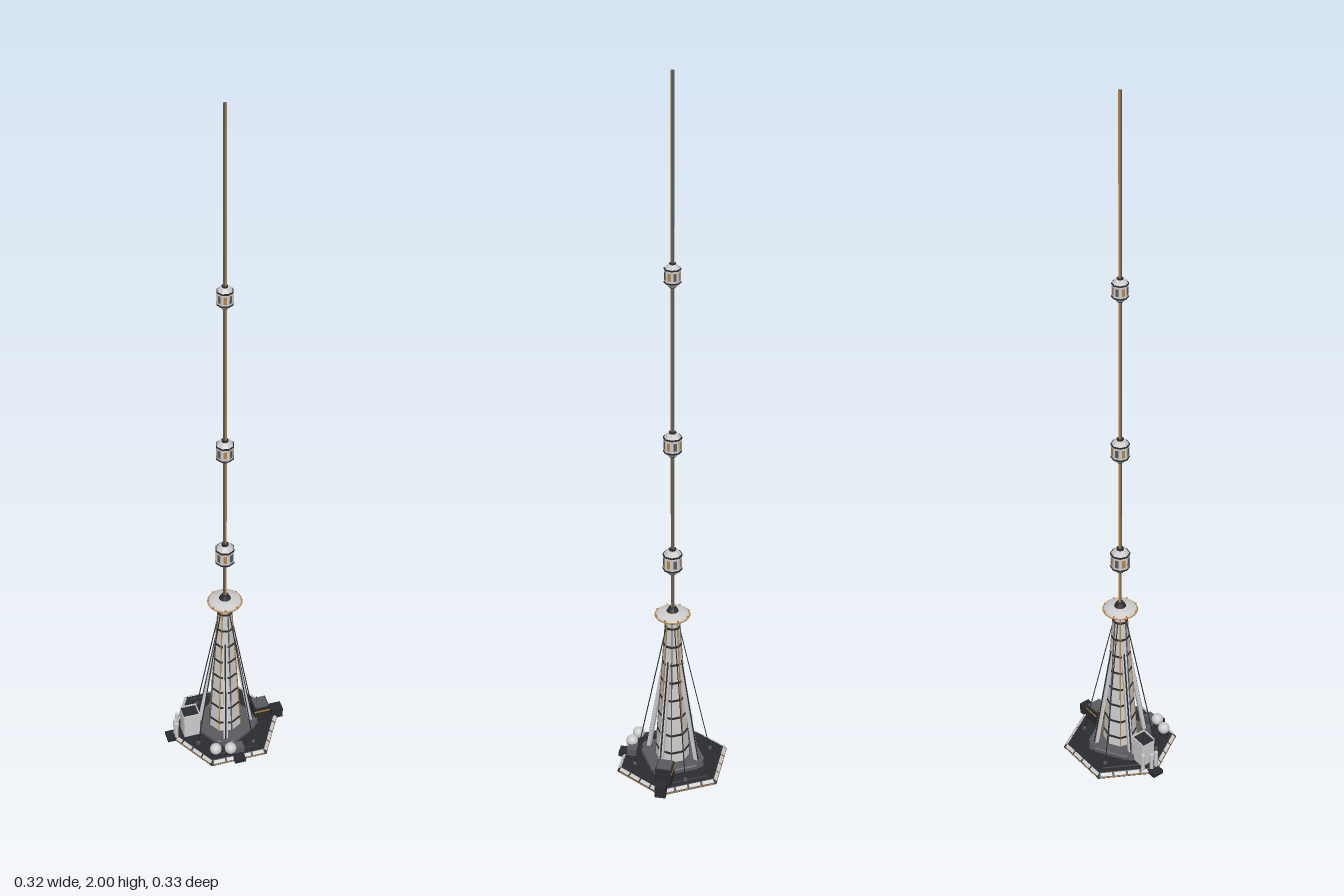
import * as THREE from 'three';

const mat = (color, extra = {}) => new THREE.MeshStandardMaterial({ color, flatShading: true, ...extra });
const GREY = mat(0xcccccc);
const DARK = mat(0x2b2c30);
const MID = mat(0x5a5b5f);
const GOLD = mat(0xb8843a);
const SMOOTH = mat(0xcccccc, { flatShading: false });

function add(parent, name, geometry, material, x = 0, y = 0, z = 0) {
  const mesh = new THREE.Mesh(geometry, material);
  mesh.name = name;
  mesh.position.set(x, y, z);
  parent.add(mesh);
  return mesh;
}
function group(parent, name) {
  const g = new THREE.Group();
  g.name = name;
  parent.add(g);
  return g;
}
const box = (w, h, d) => new THREE.BoxGeometry(w, h, d);
const cyl = (rTop, rBottom, h, sides) => new THREE.CylinderGeometry(rTop, rBottom, h, sides);
const lathe = (points, sides) => new THREE.LatheGeometry(points.map(p => new THREE.Vector2(...p)), sides);
const ring = (r, tube, sides = 32) => new THREE.TorusGeometry(r, tube, 6, sides).rotateX(Math.PI / 2);

// Straight rod or beam between two points
function beam(parent, name, a, b, w, d, material) {
  const m = add(parent, name, box(w, d, a.distanceTo(b)), material);
  m.position.copy(a).lerp(b, 0.5);
  m.lookAt(b);
  return m;
}
const polar = (angle, r, y) => new THREE.Vector3(Math.cos(angle) * r, y, Math.sin(angle) * r);

// Hexagonal platform with stepped deck and panelled sloping rim
function buildBase(root) {
  const base = group(root, 'base');
  add(base, 'platform', lathe([[0, 0.004], [0.158, 0.004], [0.165, 0.007], [0.165, 0.010], [0.152, 0.020],
    [0.143, 0.020], [0.141, 0.017], [0.131, 0.017], [0.129, 0.020], [0, 0.020]], 6), DARK);
  add(base, 'undersideDisc', cyl(0.085, 0.08, 0.006, 24), MID, 0, 0.003, 0);
  for (let side = 0; side < 6; side++) {
    const wall = group(base, 'rimSide');
    wall.rotation.y = side * Math.PI / 3;
    for (let i = 0; i < 4; i++) {
      const panel = add(wall, 'rimPanel', box(0.010, 0.004, 0.033), GREY, 0.1375, 0.0155, (i - 1.5) * 0.039);
      panel.rotation.z = -0.7;
    }
    add(wall, 'rimStrip', box(0.002, 0.002, 0.150), GOLD, 0.1425, 0.0095, 0);
  }
}

// Chamfered foundation plinth with round corner footings
function buildPlinth(root) {
  const plinth = group(root, 'plinth');
  const w = 0.076, c = 0.045;
  const shape = new THREE.Shape([[w, c], [c, w], [-c, w], [-w, c], [-w, -c], [-c, -w], [c, -w], [w, -c]]
    .map(p => new THREE.Vector2(...p)));
  const geometry = new THREE.ExtrudeGeometry(shape,
    { depth: 0.010, bevelEnabled: true, bevelSize: 0.003, bevelThickness: 0.003, bevelSegments: 1 });
  geometry.rotateX(-Math.PI / 2);
  add(plinth, 'plinthSlab', geometry, MID, 0, 0.021, 0);
  for (let i = 0; i < 4; i++) {
    const p = polar(Math.PI / 4 + i * Math.PI / 2, 0.080, 0.028);
    add(plinth, 'footing', cyl(0.015, 0.018, 0.018, 12), MID, p.x, p.y, p.z);
  }
}

// Tapered octagonal tower, its bands, ribs, buttresses and stays
function buildTower(root) {
  const tower = group(root, 'tower');
  const y0 = 0.03, y1 = 0.485;
  const radius = y => THREE.MathUtils.lerp(0.049, 0.019, (y - y0) / (y1 - y0));
  const shaft = add(tower, 'shaft', cyl(radius(y1), radius(y0), y1 - y0, 8), GREY, 0, (y0 + y1) / 2, 0);
  shaft.rotation.y = Math.PI / 8;
  for (let i = 0; i < 8; i++) {
    const y = 0.065 + i * 0.057;
    const band = add(tower, 'band', cyl(radius(y) + 0.0015, radius(y) + 0.002, 0.006, 8), DARK, 0, y, 0);
    band.rotation.y = Math.PI / 8;
    const a = Math.PI / 8 + i * Math.PI / 4;
    beam(tower, 'cornerRib', polar(a, radius(y0), y0), polar(a, radius(y1), y1), 0.003, 0.003, i % 2 ? GOLD : MID);
  }
  for (let i = 0; i < 4; i++) {
    const a = Math.PI / 4 + i * Math.PI / 2;
    beam(tower, 'buttress', polar(a, 0.076, 0.03), polar(a, 0.022, 0.36), 0.013, 0.010, GREY);
    beam(tower, 'buttressTrim', polar(a, 0.081, 0.035), polar(a, 0.027, 0.36), 0.004, 0.003, DARK);
    const s = i * Math.PI / 2;
    beam(tower, 'stayCable', polar(s, 0.113, 0.022), polar(s, 0.019, 0.46), 0.0022, 0.0022, DARK);
    const p = polar(s, 0.113, 0.022);
    add(tower, 'cableAnchor', box(0.008, 0.010, 0.008), MID, p.x, p.y, p.z);
  }

  // Saucer-shaped tower head
  const head = group(tower, 'towerHead');
  add(head, 'saucer', lathe([[0, 0.478], [0.021, 0.480], [0.030, 0.490], [0.044, 0.496], [0.047, 0.501],
    [0.044, 0.506], [0.030, 0.511], [0.020, 0.513], [0, 0.513]], 24), GREY);
  add(head, 'headRing', ring(0.0475, 0.0018), GOLD, 0, 0.501, 0);
  add(head, 'headCollar', cyl(0.010, 0.018, 0.014, 12), DARK, 0, 0.518, 0);
  for (let i = 0; i < 8; i++) {
    const p = polar(i * Math.PI / 4, 0.046, 0.505);
    add(head, 'beacon', box(0.004, 0.004, 0.004), GOLD, p.x, p.y, p.z);
  }
}

// Octagonal cabin travelling on the tether
function buildCabin(root, y, r, h) {
  const cabin = group(root, 'climberCabin');
  cabin.position.y = y;
  cabin.rotation.y = Math.PI / 8;
  const t = h / 2;
  add(cabin, 'cabinBody', lathe([[0, -t], [r * 0.55, -t], [r, -t * 0.62], [r, t * 0.62], [r * 0.6, t], [0, t]], 8), GREY);
  for (const s of [-1, 1]) {
    add(cabin, 'cabinBand', cyl(r * 1.05, r * 1.05, h * 0.06, 8), DARK, 0, s * t * 0.6, 0);
    add(cabin, 'cabinCap', cyl(r * 0.4, r * 0.4, h * 0.12, 8), DARK, 0, s * t, 0);
  }
  for (let i = 0; i < 8; i++) {
    const a = Math.PI / 8 + i * Math.PI / 4;
    const p = polar(a, r * 0.925, 0);
    const pane = add(cabin, 'cabinWindow', box(0.002, h * 0.34, r * 0.36), i % 2 ? GOLD : MID, p.x, 0, p.z);
    pane.rotation.y = -a;
  }
}

// Service buildings, loading pads and tanks around the deck
function buildDeckEquipment(root) {
  const right = group(root, 'cargoHall');
  right.rotation.y = -Math.PI / 6;
  add(right, 'hall', box(0.046, 0.050, 0.046), DARK, 0.108, 0.045, 0);
  add(right, 'hallRoof', box(0.040, 0.004, 0.040), MID, 0.108, 0.072, 0);
  add(right, 'loadingPad', box(0.034, 0.034, 0.030), DARK, 0.158, 0.025, 0);
  add(right, 'hallMast', box(0.002, 0.05, 0.002), MID, 0.092, 0.09, 0.015);
  for (const s of [-1, 1]) add(right, 'hallTrim', box(0.047, 0.004, 0.002), GOLD, 0.108, 0.058, s * 0.0235);

  const left = group(root, 'controlBlock');
  left.rotation.y = Math.PI * 5 / 6;
  add(left, 'block', box(0.048, 0.075, 0.044), GREY, 0.106, 0.057, 0);
  add(left, 'blockRoof', box(0.044, 0.004, 0.040), DARK, 0.106, 0.096, 0);
  for (const s of [-1, 1]) add(left, 'parapet', box(0.048, 0.008, 0.003), GREY, 0.106, 0.098, s * 0.0215);
  add(left, 'parapet', box(0.003, 0.008, 0.044), GREY, 0.0835, 0.098, 0);
  add(left, 'loadingPad', box(0.036, 0.012, 0.034), DARK, 0.160, 0.014, 0);
  for (const [x, z] of [[0.151, -0.012], [0.151, 0.004], [0.139, 0.026]])
    add(left, 'storageColumn', cyl(0.0055, 0.0055, 0.055, 12), SMOOTH, x, 0.045, z);

  const tanks = group(root, 'tankFarm');
  for (const [x, z] of [[-0.110, 0.067], [-0.079, 0.096]]) {
    add(tanks, 'tankStand', cyl(0.010, 0.013, 0.014, 12), DARK, x, 0.024, z);
    add(tanks, 'sphericalTank', new THREE.SphereGeometry(0.017, 24, 16), SMOOTH, x, 0.043, z);
  }
  const dock = group(root, 'sideDock');
  dock.rotation.y = -Math.PI * 2 / 3;
  add(dock, 'dockPad', box(0.034, 0.014, 0.032), DARK, 0.138, 0.016, 0);
  add(dock, 'dockShed', box(0.026, 0.022, 0.034), MID, 0.116, 0.030, -0.003);
}

export function createModel() {
  const root = new THREE.Group();
  root.name = 'spaceElevator';
  buildBase(root);
  buildPlinth(root);
  buildTower(root);

  // Tether with metal core and gold faces
  add(root, 'tether', box(0.0065, 1.49, 0.0065), MID, 0, 1.255, 0);
  for (const s of [-1, 1]) add(root, 'tetherStrip', box(0.006, 1.49, 0.001), GOLD, 0, 1.255, s * 0.0035);

  buildCabin(root, 0.67, 0.026, 0.070);
  buildCabin(root, 1.023, 0.024, 0.064);
  buildCabin(root, 1.49, 0.021, 0.058);
  buildDeckEquipment(root);
  return root;
}
